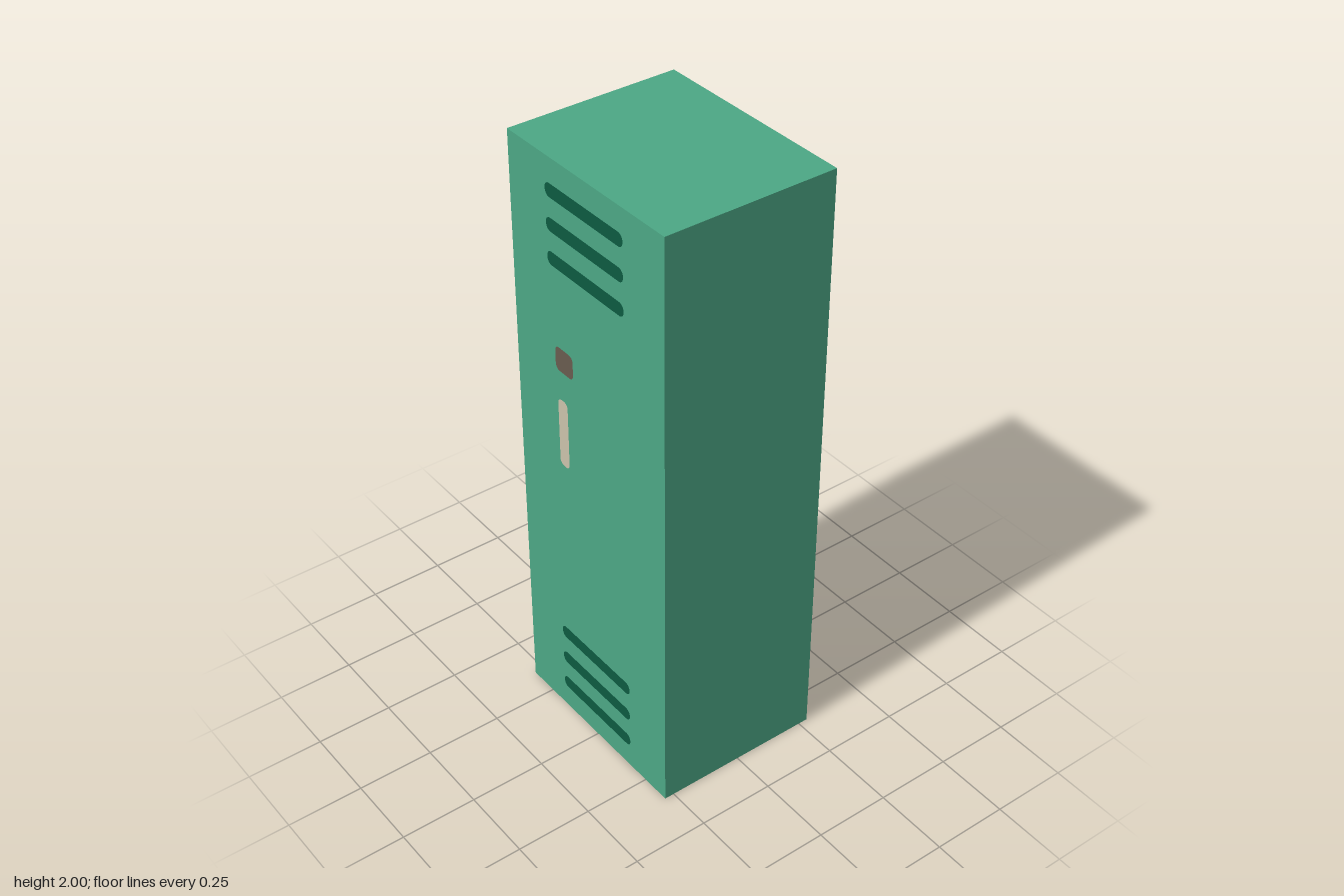
import * as THREE from 'three';

const WIDTH = 0.7, HEIGHT = 2, DEPTH = 0.564;

function material(name, color) {
  const m = new THREE.MeshStandardMaterial({ color });
  m.name = name;
  return m;
}

// Flat rectangle with rounded corners, centred on the origin, facing +z
function roundedPlate(w, h, r) {
  const x = w / 2, y = h / 2;
  const s = new THREE.Shape();
  s.moveTo(-x + r, -y);
  s.lineTo(x - r, -y);
  s.absarc(x - r, -y + r, r, -Math.PI / 2, 0);
  s.lineTo(x, y - r);
  s.absarc(x - r, y - r, r, 0, Math.PI / 2);
  s.lineTo(-x + r, y);
  s.absarc(-x + r, y - r, r, Math.PI / 2, Math.PI);
  s.lineTo(-x, -y + r);
  s.absarc(-x + r, -y + r, r, Math.PI, Math.PI * 1.5);
  return new THREE.ShapeGeometry(s, 6);
}

export function createModel() {
  const group = new THREE.Group();
  group.name = 'locker';

  const green = material('lockerGreen', 0x4ca785);
  const darkGreen = material('ventDarkGreen', 0x0d5b41);
  const brown = material('lockBrown', 0x695c4f);
  const cream = material('handleCream', 0xcac2ab);

  const add = (name, geometry, mat, x, y, z) => {
    const mesh = new THREE.Mesh(geometry, mat);
    mesh.name = name;
    mesh.position.set(x, y, z);
    group.add(mesh);
  };

  // Cabinet
  add('cabinet', new THREE.BoxGeometry(WIDTH, HEIGHT, DEPTH), green, 0, HEIGHT / 2, 0);

  // Painted door details sit just in front of the cabinet
  const face = DEPTH / 2 + 0.002;

  // Upper and lower vent slots
  const slot = roundedPlate(0.35, 0.044, 0.02);
  for (const [name, top] of [['upperVent', 1.9], ['lowerVent', 0.319]]) {
    for (let i = 0; i < 3; i++) {
      add(`${name}${i + 1}`, slot, darkGreen, 0, top - i * 0.107, face);
    }
  }

  // Lock and handle
  add('lock', roundedPlate(0.084, 0.08, 0.018), brown, -0.113, 1.364, face);
  add('handle', roundedPlate(0.046, 0.236, 0.018), cream, -0.127, 1.107, face);

  return group;
}
